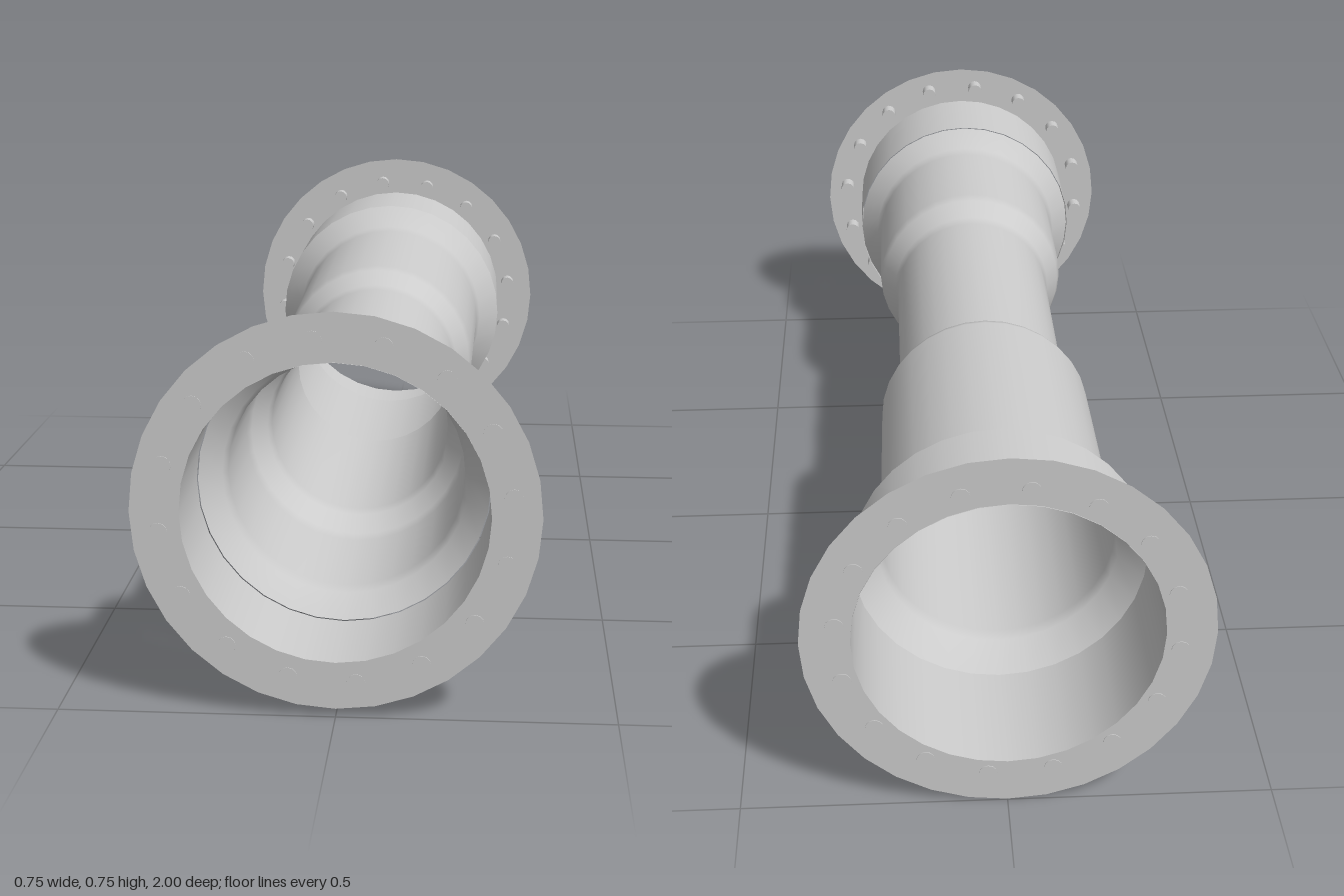
import * as THREE from 'three';

const SIDES = 32;
const AXIS_Y = 0.377;

// Softens every inner corner of a profile given as [z, radius] pairs.
function softened(points, cut = 0.012) {
  const p = points.map(([z, r]) => new THREE.Vector2(r, z));
  const out = [p[0]];
  for (let i = 1; i < p.length - 1; i++) {
    for (const q of [p[i - 1], p[i + 1]]) {
      const step = q.clone().sub(p[i]).setLength(cut);
      out.push(p[i].clone().add(step));
    }
  }
  out.push(p[p.length - 1]);
  return out;
}

// Open shell turned around the z axis.
function shell(name, points, material) {
  const geometry = new THREE.LatheGeometry(softened(points), SIDES);
  geometry.rotateX(Math.PI / 2);
  const mesh = new THREE.Mesh(geometry, material);
  mesh.name = name;
  return mesh;
}

// Thin flange with a ring of bolts on its inner side.
function flange(name, z, inner, outer, material) {
  const group = new THREE.Group();
  group.name = name;
  const dir = Math.sign(z);
  const plate = new THREE.Mesh(new THREE.RingGeometry(inner, outer, SIDES), material);
  plate.name = 'flangePlate';
  plate.position.z = z - dir * 0.0015;
  group.add(plate);

  const boltGeometry = new THREE.CylinderGeometry(0.017, 0.017, 0.034, 12);
  boltGeometry.rotateX(Math.PI / 2);
  for (let i = 0; i < 16; i++) {
    const a = THREE.MathUtils.degToRad(6.75 + 22.5 * i);
    const bolt = new THREE.Mesh(boltGeometry, material);
    bolt.name = 'bolt';
    bolt.position.set(0.312 * Math.cos(a), 0.312 * Math.sin(a), z - dir * 0.017);
    group.add(bolt);
  }
  return group;
}

export function createModel() {
  const material = new THREE.MeshStandardMaterial({ color: 0xcccccc, side: THREE.DoubleSide });
  const model = new THREE.Group();
  model.name = 'flangedPipe';

  // Wide rear sleeve, stepped pipe, and front collar
  model.add(shell('rearSleeve', [[-1, 0.283], [-0.745, 0.283]], material));
  model.add(shell('steppedPipe', [
    [-0.745, 0.283], [-0.685, 0.228], [-0.19, 0.222], [-0.13, 0.181],
    [0.41, 0.181], [0.47, 0.222], [0.752, 0.222], [0.8, 0.27],
  ], material));
  model.add(shell('frontCollar', [[0.8, 0.272], [1, 0.272]], material));

  // End flanges
  model.add(flange('frontFlange', 1, 0.272, 0.36, material));
  model.add(flange('rearFlange', -1, 0.283, 0.375, material));

  for (const part of model.children) part.position.y = AXIS_Y;
  return model;
}
